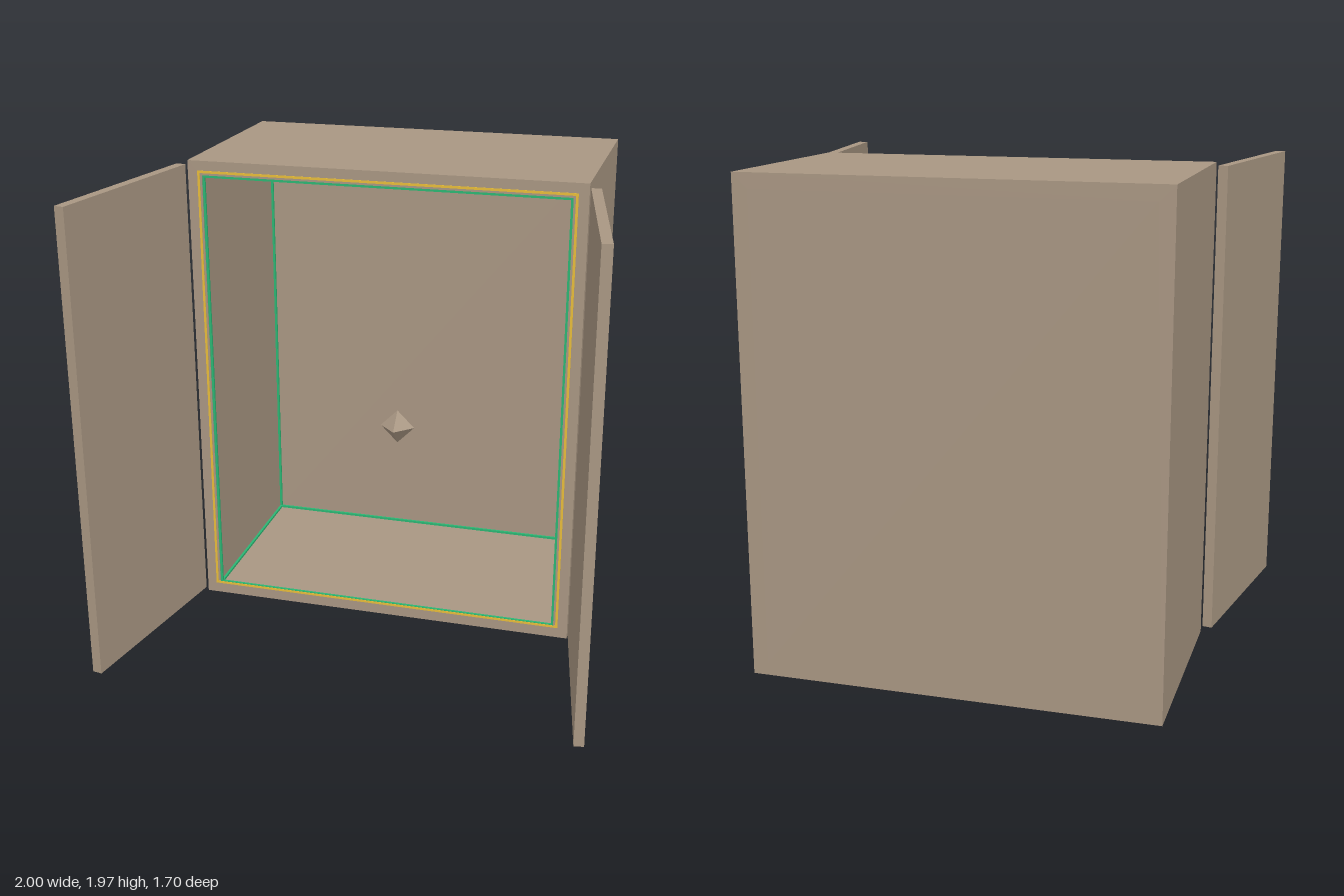
import * as THREE from 'three';

const wood = new THREE.MeshStandardMaterial({ color: 0xa89682 });
wood.name = 'taupe';
const gold = new THREE.MeshStandardMaterial({ color: 0xf2c53d });
gold.name = 'gold';
const green = new THREE.MeshStandardMaterial({ color: 0x2bb673 });
green.name = 'green';

// Rectangular ring extruded along z, from z0 to z1
function ring(name, outer, inner, z0, z1, material) {
  const corners = ([x, y0, y1]) => [[-x, y0], [x, y0], [x, y1], [-x, y1]].map(([a, b]) => new THREE.Vector2(a, b));
  const shape = new THREE.Shape(corners(outer));
  shape.holes.push(new THREE.Path(corners(inner).reverse()));
  const geometry = new THREE.ExtrudeGeometry(shape, { depth: z1 - z0, bevelEnabled: false });
  geometry.translate(0, 0, z0);
  const mesh = new THREE.Mesh(geometry, material);
  mesh.name = name;
  return mesh;
}

function box(name, size, position, material) {
  const mesh = new THREE.Mesh(new THREE.BoxGeometry(...size), material);
  mesh.name = name;
  mesh.position.set(...position);
  return mesh;
}

export function createModel() {
  const model = new THREE.Group();
  model.name = 'openCabinet';

  // Hollow body: side, top and bottom walls, then the back panel
  const inX = 0.755, inY0 = 0.046, inY1 = 1.906, rearZ = -0.85, backZ = -0.785, frontZ = 0.046;
  model.add(ring('cabinetWalls', [0.815, 0, 1.965], [inX, inY0, inY1], rearZ, frontZ, wood));
  model.add(box('backPanel', [2 * inX, inY1 - inY0, backZ - rearZ],
    [0, (inY0 + inY1) / 2, (backZ + rearZ) / 2], wood));

  // Gold outline on the front face
  model.add(ring('frontTrim', [0.774, 0.045, 1.925], [0.764, 0.055, 1.915], frontZ, frontZ + 0.002, gold));

  // Green lining along the inner edges: rings at front and back, bars between
  const t = 0.01, liningFront = 0.042;
  for (const [name, z] of [['frontLining', liningFront - t], ['backLining', backZ]]) {
    model.add(ring(name, [inX, inY0, inY1], [inX - t, inY0 + t, inY1 - t], z, z + t, green));
  }
  for (const side of [-1, 1]) {
    for (const y of [inY0 + t / 2, inY1 - t / 2]) {
      model.add(box('depthLining', [t, t, liningFront - backZ - 2 * t],
        [side * (inX - t / 2), y, (liningFront + backZ) / 2], green));
    }

    // Doors swung open
    const door = box(side > 0 ? 'leftDoor' : 'rightDoor', [0.04, 1.93, 0.805], [side * 0.91, 0.985, 0.449], wood);
    door.rotation.y = side * THREE.MathUtils.degToRad(10);
    model.add(door);
  }

  // Floating crystal inside
  const crystal = new THREE.Mesh(new THREE.OctahedronGeometry(0.075), wood);
  crystal.name = 'crystal';
  crystal.position.set(0, 0.788, -0.21);
  model.add(crystal);

  return model;
}
